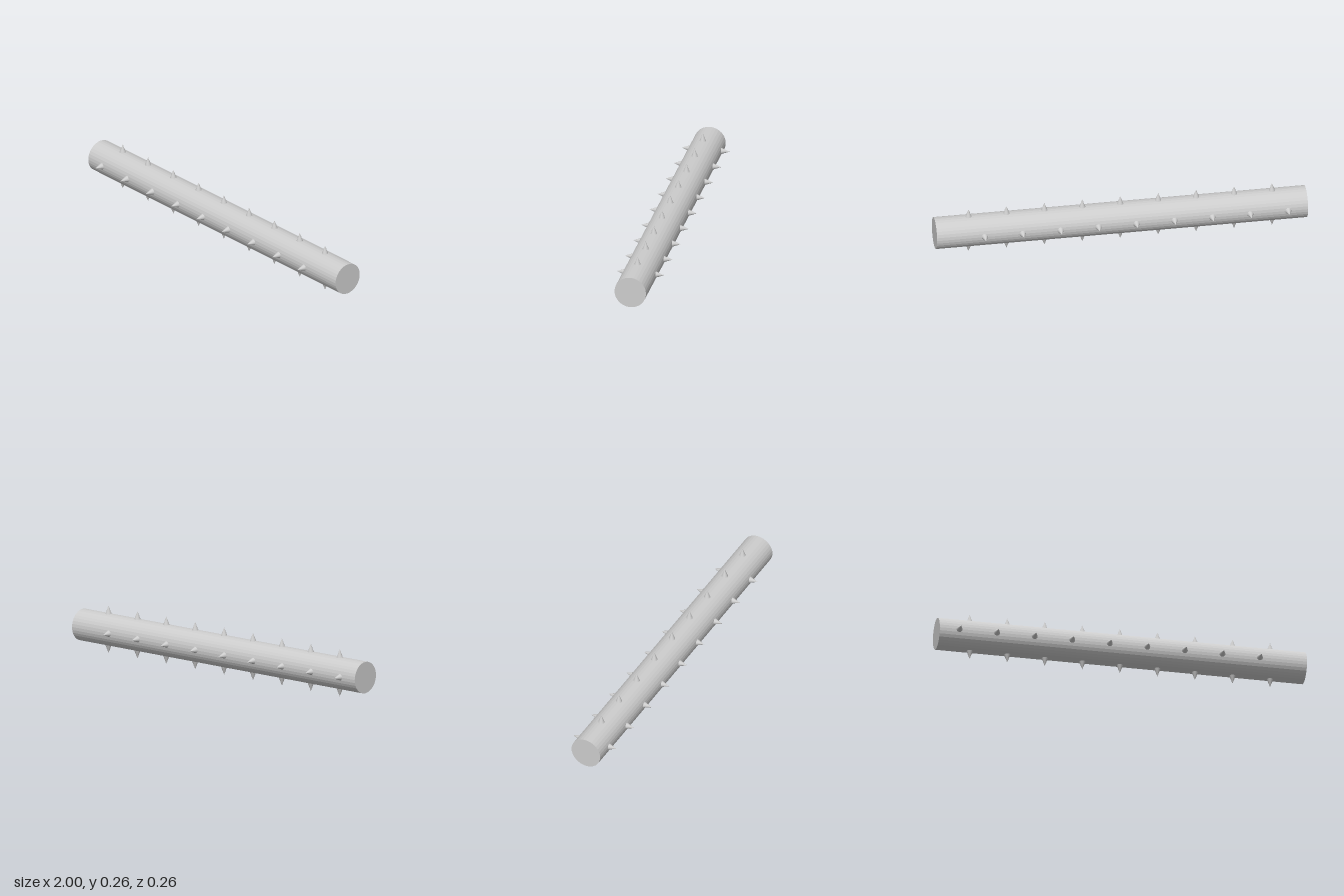
import * as THREE from 'three';

export function createModel() {
  const model = new THREE.Group();
  const steel = new THREE.MeshStandardMaterial({ color: 0xcccccc });
  steel.name = 'steel';
  const centreY = 0.128, barRadius = 0.0855;

  // Faceted round bar lying along x
  const barGeometry = new THREE.CylinderGeometry(barRadius, barRadius, 2, 32)
    .rotateZ(Math.PI / 2).toNonIndexed();
  barGeometry.computeVertexNormals();
  const bar = new THREE.Mesh(barGeometry, steel);
  bar.name = 'bar';
  bar.position.y = centreY;
  model.add(bar);

  // Spike with its base sunk slightly into the bar, tip pointing away from the axis
  const tip = 0.129, sunk = 0.08;
  const spikeGeometry = new THREE.ConeGeometry(0.0185, tip - sunk, 24)
    .translate(0, (tip + sunk) / 2, 0);

  // Four rows: top, front, bottom, back; the front and back rows are staggered
  ['topSpikes', 'frontSpikes', 'bottomSpikes', 'backSpikes'].forEach((name, side) => {
    const row = new THREE.Group();
    row.name = name;
    row.position.y = centreY;
    row.rotation.x = side * Math.PI / 2;
    const startX = side % 2 ? -0.893 : -0.819;
    for (let i = 0; i < 9; i++) {
      const spike = new THREE.Mesh(spikeGeometry, steel);
      spike.name = 'spike';
      spike.position.x = startX + i * 0.2045;
      row.add(spike);
    }
    model.add(row);
  });

  return model;
}
